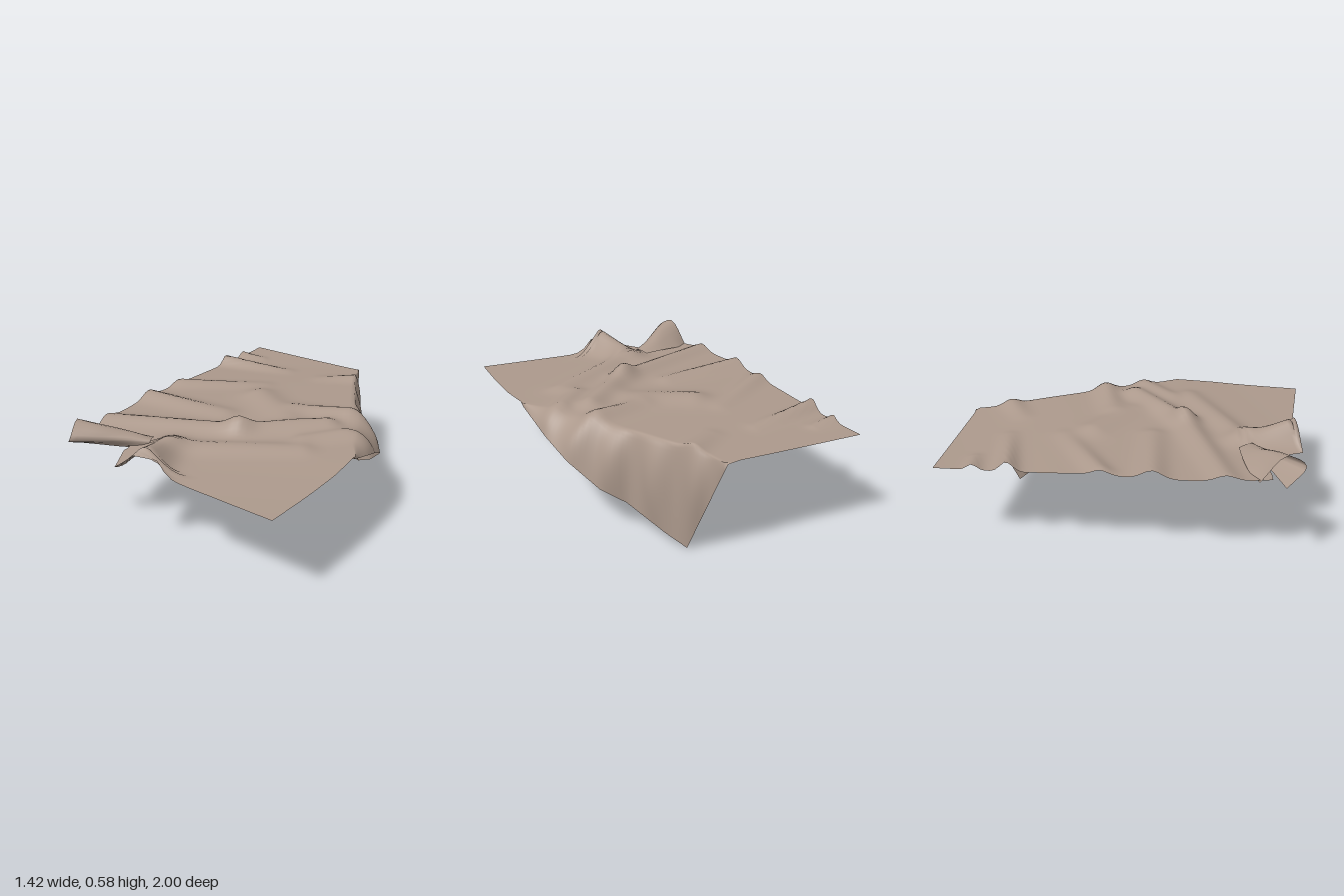
import * as THREE from 'three';

// Piecewise linear lookup: rows of [z, value, ...]
function lookup(table, z, k = 1) {
  for (let i = 1; i < table.length; i++) {
    const a = table[i - 1], b = table[i];
    if (z <= b[0]) return a[k] + (b[k] - a[k]) * Math.max(0, (z - a[0]) / (b[0] - a[0]));
  }
  return table[table.length - 1][k];
}

// Outline of the sheet on the flat: [z, x]
const leftEdge = [[-1, 0], [-0.85, -0.07], [-0.7, -0.15], [-0.4, -0.3], [-0.2, -0.41], [0, -0.51],
  [0.22, -0.6], [0.41, -0.64], [0.45, -0.42], [0.47, -0.41], [0.5, -0.43], [0.67, -0.43], [0.69, -0.25], [1, 0.28]];
const rightEdge = [[-1, 0.005], [-0.69, 0.59], [-0.6, 0.57], [0.3, 0.57], [0.42, 0.59], [0.6, 0.51], [0.8, 0.4], [1, 0.285]];

// Hem of the hanging side: [z, x, y]
const hem = [[-0.7, 0.59, 0.45], [-0.5, 0.58, 0], [-0.4, 0.6, 0.05], [-0.2, 0.61, 0.14], [-0.1, 0.67, 0.2],
  [0.05, 0.71, 0.31], [0.2, 0.68, 0.38], [0.42, 0.59, 0.45]];

// Soft wrinkles: [x1, z1, x2, z2, width, height at start, height at end]
const wrinkles = [
  [-0.29, 0.7, -0.24, 0.42, 0.075, 0.125, 0.03],
  [-0.15, -0.69, 0.2, -0.6, 0.04, 0.05, 0.01],
  [-0.09, -0.84, 0.04, -0.8, 0.03, 0.03, 0.01],
  [0.4, -0.5, 0.6, -0.52, 0.05, 0.01, 0.03],
  [0.1, -0.2, 0.25, 0.05, 0.08, 0.03, 0.02],
  [-0.45, -0.1, -0.05, 0.05, 0.06, 0.04, 0.02],
  [-0.58, 0.2, 0.05, 0.25, 0.06, 0.03, 0.04],
  [0.05, 0.25, 0.45, 0.13, 0.06, 0.04, 0.04],
  [-0.2, 0.45, 0.35, 0.4, 0.06, 0.03, 0.02],
  [0.3, -0.05, 0.55, 0.0, 0.06, 0.02, 0.045],
  [-0.33, -0.3, 0.1, -0.35, 0.05, 0.03, 0.01],
  [0.35, 0.3, 0.55, 0.22, 0.05, 0.02, 0.03],
];

function height(x, z) {
  let y = 0.45 + 0.02 * Math.exp(-Math.pow(z / 0.6, 4));
  for (const [x1, z1, x2, z2, w, h1, h2] of wrinkles) {
    const dx = x2 - x1, dz = z2 - z1;
    const t = THREE.MathUtils.clamp(((x - x1) * dx + (z - z1) * dz) / (dx * dx + dz * dz), 0, 1);
    const d = Math.hypot(x - x1 - dx * t, z - z1 - dz * t) / w;
    y += (h1 + (h2 - h1) * t) * Math.exp(-d * d);
  }
  return y;
}

// Smooth surface from a grid: point(i, j) gives [x, y, z]
function surface(name, cols, rows, point, material) {
  const pos = [], index = [];
  for (let j = 0; j <= rows; j++) for (let i = 0; i <= cols; i++) pos.push(...point(i, j));
  for (let j = 0; j < rows; j++) for (let i = 0; i < cols; i++) {
    const a = j * (cols + 1) + i, b = a + 1, c = a + cols + 1, d = c + 1;
    index.push(a, c, b, b, c, d);
  }
  const geo = new THREE.BufferGeometry();
  geo.setAttribute('position', new THREE.Float32BufferAttribute(pos, 3));
  geo.setIndex(index);
  geo.computeVertexNormals();
  const mesh = new THREE.Mesh(geo, material);
  mesh.name = name;
  return mesh;
}

export function createModel() {
  const group = new THREE.Group();
  group.name = 'drapedCloth';
  const cloth = new THREE.MeshStandardMaterial({ color: 0xac998c, side: THREE.DoubleSide });
  cloth.name = 'taupe cloth';

  // Sheet lying flat, continuing over the edge into the hanging side
  const flat = 50, hang = 16, rows = 100;
  group.add(surface('sheet', flat + hang, rows, (i, j) => {
    const z = -1 + 2 * j / rows;
    const x0 = lookup(leftEdge, z), x1 = lookup(rightEdge, z);
    if (i <= flat) {
      const x = x0 + (x1 - x0) * i / flat;
      return [x, height(x, z), z];
    }
    const top = height(x1, z);
    if (z < -0.7 || z > 0.42) return [x1, top, z];
    const t = (i - flat) / hang;
    const bx = lookup(hem, z, 1), by = lookup(hem, z, 2);
    const depth = Math.min(1, (top - by) / 0.3);
    const ripple = depth * Math.sin(Math.PI * t) * (0.018 + 0.012 * Math.sin(z * 32));
    return [x1 + (bx - x1) * Math.pow(t, 0.7) + ripple, top + (by - top) * Math.pow(t, 1.2), z];
  }, cloth));

  // Folded corner: sections from the open end inward, each from back foot over the ridge and under
  const sections = [
    [[-0.63, 0.46, 0.34], [-0.65, 0.58, 0.45], [-0.66, 0.52, 0.55], [-0.71, 0.455, 0.43]],
    [[-0.54, 0.47, 0.33], [-0.54, 0.555, 0.45], [-0.55, 0.51, 0.51], [-0.57, 0.455, 0.44]],
    [[-0.42, 0.48, 0.35], [-0.43, 0.52, 0.42], [-0.42, 0.5, 0.47], [-0.43, 0.455, 0.45]],
    [[-0.32, 0.48, 0.38], [-0.32, 0.49, 0.42], [-0.32, 0.49, 0.45], [-0.33, 0.46, 0.45]],
  ].map(s => new THREE.CatmullRomCurve3(s.map(p => new THREE.Vector3(...p))));
  group.add(surface('foldedCorner', 12, 12, (i, j) => {
    const along = new THREE.CatmullRomCurve3(sections.map(c => c.getPoint(j / 12)));
    return along.getPoint(i / 12).toArray();
  }, cloth));

  return group;
}
